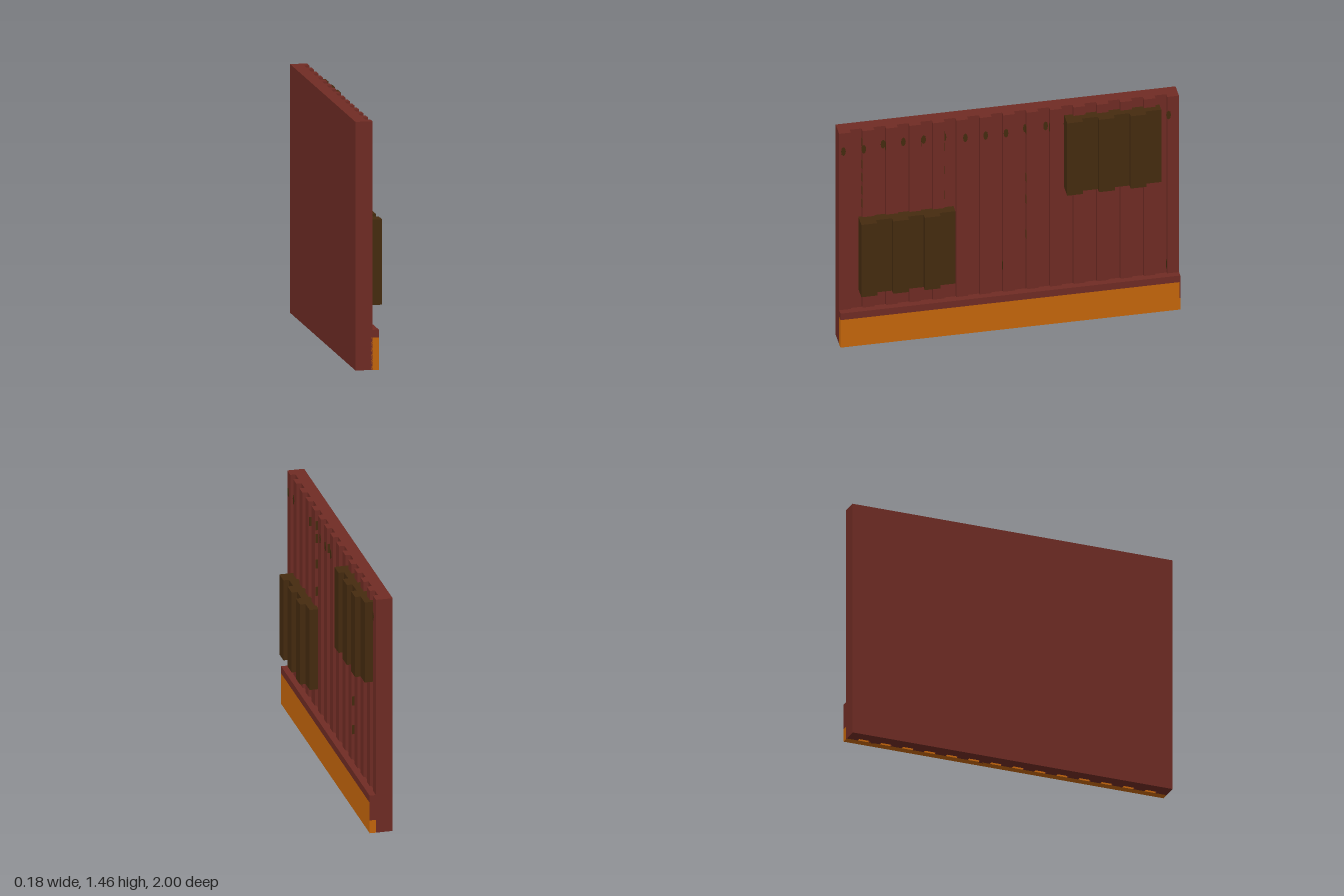
import * as THREE from 'three';

const red = new THREE.MeshStandardMaterial({ color: 0x702c24, name: 'rust red' });
const brown = new THREE.MeshStandardMaterial({ color: 0x452b0f, name: 'dark brown' });
const orange = new THREE.MeshStandardMaterial({ color: 0xc5660b, name: 'orange' });

const RIB = 2 / 29;                 // 15 ridges and 14 grooves
const FRONT = 0.01, GROOVE = -0.02; // x of ridge and groove faces

function add(parent, name, geometry, material) {
  const mesh = new THREE.Mesh(geometry, material);
  mesh.name = name;
  parent.add(mesh);
  return mesh;
}

function box(parent, name, material, x0, x1, y0, y1, z0, z1) {
  const mesh = add(parent, name, new THREE.BoxGeometry(x1 - x0, y1 - y0, z1 - z0), material);
  mesh.position.set((x0 + x1) / 2, (y0 + y1) / 2, (z0 + z1) / 2);
  return mesh;
}

// Upright corrugated slab: strips alternate between two depths along z
function corrugated(back, firstX, secondX, strips, z0, z1, height) {
  const w = (z1 - z0) / strips;
  const pts = [new THREE.Vector2(back, -z0)];
  for (let i = 0; i < strips; i++) {
    const x = i % 2 ? secondX : firstX;
    pts.push(new THREE.Vector2(x, -(z0 + i * w)), new THREE.Vector2(x, -(z0 + (i + 1) * w)));
  }
  pts.push(new THREE.Vector2(back, -z1));
  const g = new THREE.ExtrudeGeometry(new THREE.Shape(pts), { depth: height, bevelEnabled: false });
  return g.rotateX(-Math.PI / 2);
}

export function createModel() {
  const root = new THREE.Group();
  root.name = 'corrugatedWall';

  add(root, 'wall', corrugated(-0.09, FRONT, GROOVE, 29, -1, 1, 1.455), red);

  // Two patch panels
  add(root, 'lowerPatch', corrugated(0, 0.055, 0.088, 6, 0.325, 0.885, 0.5), brown).position.y = 0.36;
  add(root, 'upperPatch', corrugated(-0.008, 0.047, 0.08, 6, -0.888, -0.328, 0.5), brown).position.y = 0.897;

  // Skirting board with red cap and partly red far end
  box(root, 'skirtingBoard', orange, 0, 0.047, 0, 0.19, -0.996, 1);
  box(root, 'skirtingCap', red, 0, 0.047, 0.19, 0.235, -0.996, 1);
  box(root, 'skirtingEndLower', orange, 0, 0.047, 0, 0.08, -1, -0.996);
  box(root, 'skirtingEndUpper', red, 0, 0.047, 0.08, 0.235, -1, -0.996);

  // Row of flat fixings following the ridges and grooves
  const disc = new THREE.CylinderGeometry(1, 1, 0.004, 8).rotateZ(-Math.PI / 2);
  for (let i = 0; i < 17; i++) {
    const z = 0.975 - i * 0.1196;
    const onRidge = Math.floor((1 - z) / RIB) % 2 === 0;
    const spot = add(root, 'fixing', disc, brown);
    spot.scale.set(1, 0.03, 0.014);
    spot.position.set(onRidge ? FRONT : GROOVE, 1.33, z);
  }

  // Small stains on the ridge sides: [ridge, side, heights]
  const stains = [
    [1, 1, [1.37, 1.22, 1.13, 1.04, 0.95]],
    [2, 1, [1.33]],
    [7, 1, [0.41]],
    [8, 1, [1.33, 1.0, 0.85, 0.61]],
    [9, 1, [1.33]],
    [14, 1, [0.29]],
    [3, -1, [1.33]],
    [4, -1, [1.36, 1.28, 1.12, 0.95]],
    [6, -1, [1.33]],
    [10, -1, [0.97, 0.81, 0.6, 0.42]],
  ];
  for (const [ridge, side, heights] of stains) {
    const z = 1 - (2 * ridge + (side < 0 ? 1 : 0)) * RIB;
    for (const y of heights) {
      box(root, 'stain', brown, GROOVE + 0.003, FRONT - 0.003, y - 0.028, y + 0.028, z - 0.002, z + 0.002);
    }
  }
  return root;
}
